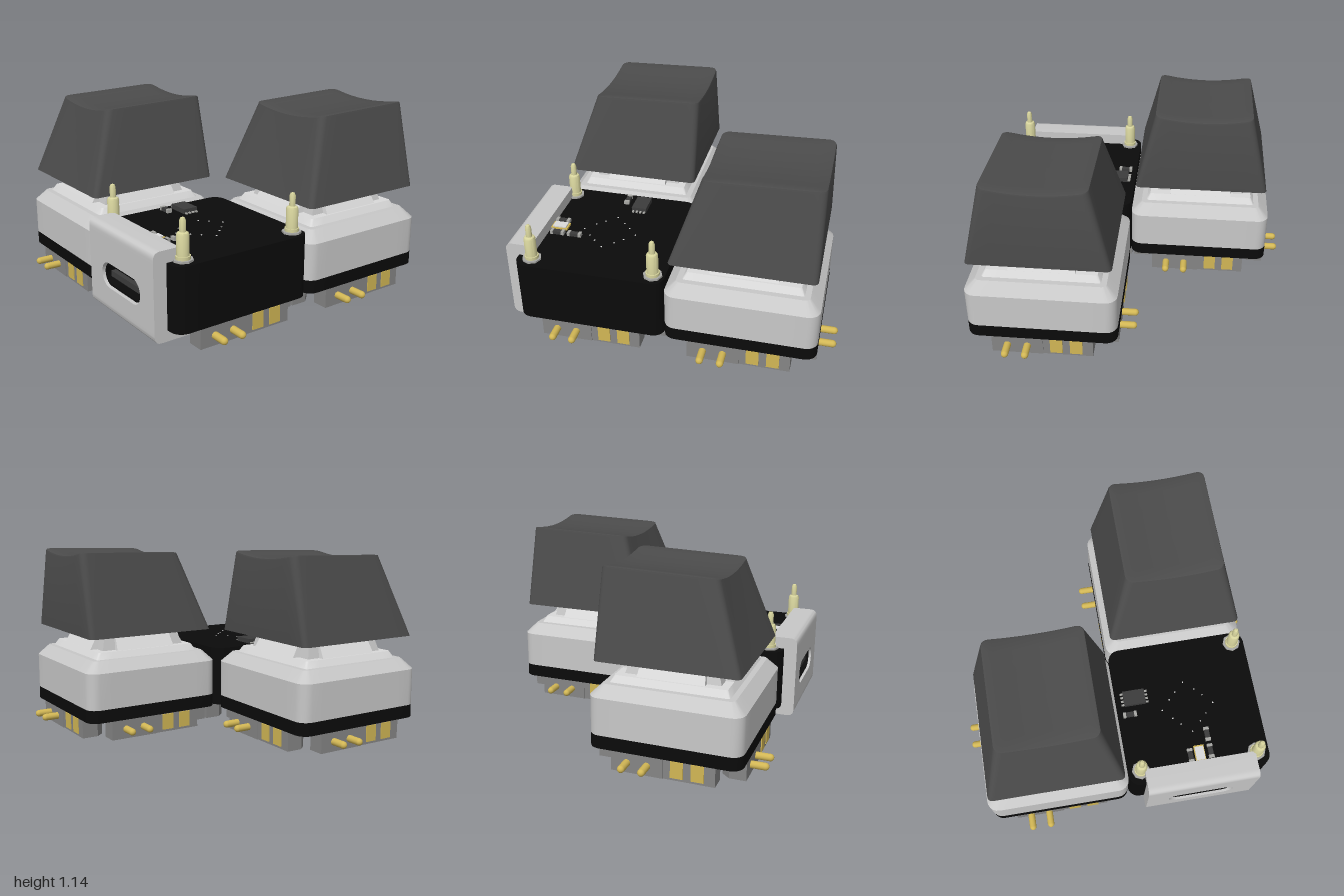
import * as THREE from 'three';
import { toCreasedNormals } from 'three/addons/utils/BufferGeometryUtils.js';

const mat = (name, color, side = THREE.FrontSide) => {
  const m = new THREE.MeshStandardMaterial({ color, side });
  m.name = name;
  return m;
};

// Rounded rectangle ring: [x, z] points with subdivided sides
function ringPoints({ hx, hz = hx, r = 0, cz = 0 }) {
  const pts = [], corners = [[1, 1], [-1, 1], [-1, -1], [1, -1]], arc = 5, side = 8;
  const rr = Math.min(r, hx, hz);
  corners.forEach(([sx, sz], k) => {
    for (let i = 0; i <= arc; i++) {
      const a = (k + i / arc) * Math.PI / 2;
      pts.push([sx * (hx - rr) + rr * Math.cos(a), cz + sz * (hz - rr) + rr * Math.sin(a)]);
    }
    const [nx, nz] = corners[(k + 1) % 4], a = (k + 1) * Math.PI / 2;
    const p = pts[pts.length - 1];
    const q = [nx * (hx - rr) + rr * Math.cos(a), cz + nz * (hz - rr) + rr * Math.sin(a)];
    for (let i = 1; i < side; i++) {
      const t = i / side;
      pts.push([p[0] + (q[0] - p[0]) * t, p[1] + (q[1] - p[1]) * t]);
    }
  });
  return pts;
}

// Skin a stack of rings; y is a number or a function of x and z
function loft(rings, crease = 0.6) {
  const pos = [], idx = [];
  let n = 0;
  rings.forEach(ring => {
    const pts = ringPoints(ring);
    n = pts.length;
    pts.forEach(([x, z]) => pos.push(x, typeof ring.y === 'function' ? ring.y(x, z) : ring.y, z));
  });
  for (let i = 0; i < rings.length - 1; i++) {
    for (let j = 0; j < n; j++) {
      const a = i * n + j, b = i * n + (j + 1) % n;
      idx.push(a, a + n, b, b, a + n, b + n);
    }
  }
  const g = new THREE.BufferGeometry();
  g.setAttribute('position', new THREE.Float32BufferAttribute(pos, 3));
  g.setIndex(idx);
  return toCreasedNormals(g, crease);
}
const solid = rings => loft([{ y: rings[0].y, hx: 0 }, ...rings, { y: rings[rings.length - 1].y, hx: 0 }]);

function stadium(Type, cx, cy, w, h) {
  const s = new Type(), d = (w - h) / 2;
  s.absarc(cx + d, cy, h / 2, -Math.PI / 2, Math.PI / 2, false);
  s.absarc(cx - d, cy, h / 2, Math.PI / 2, Math.PI * 1.5, false);
  s.closePath();
  return s;
}

export function createModel() {
  const M = {
    black: mat('black', 0x0b0b0b), cap: mat('charcoal', 0x4b4b4b),
    housing: mat('light grey', 0xc8c8c8), pale: mat('pale grey', 0xdadada),
    block: mat('connector grey', 0x858585), gold: mat('gold', 0xd2b755),
    brass: mat('pale brass', 0xd6d39c), chip: mat('chip grey', 0x3c3c3c),
    silver: mat('silver', 0xa8a8a4),
  };
  const model = new THREE.Group();
  const add = (parent, name, geo, m, x = 0, y = 0, z = 0) => {
    const mesh = new THREE.Mesh(geo, m);
    mesh.name = name;
    mesh.position.set(x, y, z);
    parent.add(mesh);
    return mesh;
  };
  const box = (p, name, m, w, h, d, x, y, z) => add(p, name, new THREE.BoxGeometry(w, h, d), m, x, y, z);
  const group = (parent, name, x = 0, z = 0) => {
    const g = new THREE.Group();
    g.name = name;
    g.position.set(x, 0, z);
    parent.add(g);
    return g;
  };

  // Connector block outline with chamfered inner corners
  const blockShape = new THREE.Shape([[-.155, 0], [.155, 0], [.155, .1], [.11, .15], [-.11, .15], [-.155, .1]]
    .map(p => new THREE.Vector2(...p)));
  const blockGeo = new THREE.ExtrudeGeometry(blockShape, { depth: 0.12, bevelEnabled: false });
  blockGeo.rotateX(-Math.PI / 2);
  const pinGeo = new THREE.CapsuleGeometry(0.022, 0.12, 6, 14).rotateX(Math.PI / 2);

  // Edge connectors: a pin block and a pad block on each listed side
  function connectors(parent, sides) {
    sides.forEach(k => {
      const side = group(parent, 'edgeConnector');
      side.rotation.y = k * Math.PI / 2;
      add(side, 'pinBlock', blockGeo, M.block, -0.15, 0, 0.445);
      add(side, 'padBlock', blockGeo, M.block, 0.15, 0, 0.44);
      for (const s of [-1, 1]) {
        add(side, 'contactPin', pinGeo, M.gold, -0.15 + s * 0.06, 0.06, 0.468);
        box(side, 'contactPad', M.gold, 0.075, 0.1, 0.008, 0.145 + s * 0.06, 0.065, 0.442);
      }
    });
  }

  // Small circuit parts under a board
  function underside(parent) {
    const chip = box(parent, 'controllerChip', M.chip, 0.14, 0.025, 0.14, 0.02, 0.11, 0.18);
    chip.rotation.y = Math.PI / 4;
    [[-.2, -.12], [-.2, .05], [.2, -.14], [.21, .04], [-.14, .2]].forEach(([x, z]) => {
      box(parent, 'smallComponent', M.pale, 0.035, 0.035, 0.06, x, 0.105, z);
    });
  }

  // Keycap: sloped, dished top and a hollow underside
  const topY = (x, z) => 1.138 - 0.028 * (z + 0.08) - 0.033 * (1 - Math.min(1, (x / 0.3) ** 2));
  const topRing = (s, drop) => ({ y: (x, z) => topY(x, z) - drop, hx: 0.305 * s, hz: 0.34 * s, r: 0.045 * s, cz: -0.08 });
  const capGeo = loft([
    { y: 1.0, hx: 0, cz: -0.06 }, { y: 1.0, hx: 0.25, hz: 0.29, r: 0.04, cz: -0.06 },
    { y: 0.63, hx: 0.37, r: 0.03 }, { y: 0.63, hx: 0.422, r: 0.03 },
    topRing(1, 0.015), topRing(0.99, 0.004), topRing(0.96, 0),
    topRing(0.75, 0), topRing(0.5, 0), topRing(0.25, 0), topRing(0, 0),
  ]);
  const baseGeo = solid([{ y: 0.12, hx: 0.45, r: 0.07 }, { y: 0.2, hx: 0.45, r: 0.07 }]);
  const housingGeo = solid([
    { y: 0.2, hx: 0.45, r: 0.07 }, { y: 0.425, hx: 0.45, r: 0.07 }, { y: 0.49, hx: 0.385, r: 0.03 },
  ]);
  const rimGeo = solid([{ y: 0.485, hx: 0.355, r: 0.015 }, { y: 0.53, hx: 0.33, r: 0.015 }]);
  const towerX = solid([{ y: 0.52, hx: 0.325, hz: 0.2 }, { y: 0.7, hx: 0.22, hz: 0.18 }]);
  const towerZ = solid([{ y: 0.52, hx: 0.2, hz: 0.335 }, { y: 0.7, hx: 0.18, hz: 0.23 }]);
  const coreGeo = solid([{ y: 0.52, hx: 0.285 }, { y: 0.7, hx: 0.235 }]);

  // Key modules
  for (const [x, z] of [[-0.45, 0.45], [0.45, -0.45]]) {
    const key = group(model, 'keyModule', x, z);
    add(key, 'basePlate', baseGeo, M.black);
    add(key, 'housing', housingGeo, M.housing);
    add(key, 'switchRim', rimGeo, M.pale);
    add(key, 'switchCore', coreGeo, M.housing);
    add(key, 'switchTowerAcross', towerX, M.pale);
    add(key, 'switchTowerDeep', towerZ, M.pale);
    box(key, 'switchStem', M.chip, 0.16, 0.32, 0.16, 0, 0.85, 0);
    add(key, 'keycap', capGeo, M.cap);
    add(key, 'switchPost', new THREE.CylinderGeometry(0.1, 0.07, 0.07, 28), M.housing, 0, 0.09, 0);
    add(key, 'postTip', new THREE.CylinderGeometry(0.045, 0.045, 0.02, 20), M.block, 0, 0.048, 0);
    connectors(key, [0, 1, 2, 3]);
    underside(key);
  }

  // Controller module
  const hub = group(model, 'controllerModule', 0.45, 0.45);
  add(hub, 'controllerBody', solid([{ y: 0.12, hx: 0.45, r: 0.07 }, { y: 0.5, hx: 0.45, r: 0.07 }]), M.black);
  connectors(hub, [1, 2, 3]);
  underside(hub);

  // Spring pins on octagonal pads
  const pinProfile = [[0, 0], [.035, 0], [.035, .145], [.03, .155], [.018, .16], [.018, .22], [.012, .235], [0, .24]]
    .map(p => new THREE.Vector2(...p));
  const springGeo = toCreasedNormals(new THREE.LatheGeometry(pinProfile, 20), 0.6);
  for (const [x, z] of [[0.37, -0.38], [-0.37, 0.36], [0.37, 0.36]]) {
    const pin = group(hub, 'springPin', x, z);
    add(pin, 'pinPad', toCreasedNormals(new THREE.CylinderGeometry(0.057, 0.057, 0.012, 8), 0.3), M.silver, 0, 0.506, 0);
    add(pin, 'pinCollar', new THREE.CylinderGeometry(0.042, 0.042, 0.03, 16), M.brass, 0, 0.515, 0);
    add(pin, 'pinBarrel', springGeo, M.brass, 0, 0.5, 0);
  }

  // Circuit parts on the board top
  box(hub, 'topChip', M.chip, 0.14, 0.03, 0.095, -0.33, 0.515, -0.11);
  for (let i = 0; i < 4; i++) {
    box(hub, 'chipLeg', M.silver, 0.176, 0.008, 0.012, -0.33, 0.505, -0.146 + i * 0.024);
  }
  [[-.375, -.005, .07, .03], [-.045, .32, .03, .07], [.085, .2, .03, .07], [.085, .31, .03, .07]].forEach(([x, z, w, d]) => {
    box(hub, 'smallComponent', M.chip, w, 0.02, d, x, 0.51, z);
    const long = w > d;
    for (const s of [-1, 1]) {
      box(hub, 'componentEnd', M.silver, long ? 0.018 : w + 0.004, 0.024, long ? d + 0.004 : 0.018,
        x + (long ? s * w / 2 : 0), 0.511, z + (long ? 0 : s * d / 2));
    }
  });
  box(hub, 'crystal', M.gold, 0.065, 0.014, 0.105, 0.015, 0.507, 0.315);
  box(hub, 'crystalLid', M.pale, 0.055, 0.02, 0.085, 0.015, 0.512, 0.315);
  for (let i = 0; i < 12; i++) {
    const a = i * Math.PI / 6, r = i % 3 ? 0.125 : 0.165;
    box(hub, 'boardDot', M.pale, 0.008, 0.004, 0.008, r * Math.cos(a), 0.501, r * Math.sin(a));
  }

  // Port cover: front wall with slot, rounded top and bottom lips
  const port = group(model, 'portCover');
  const wall = new THREE.Shape([[.1, .11], [.8, .11], [.8, .51], [.1, .51]].map(p => new THREE.Vector2(...p)));
  wall.holes.push(stadium(THREE.Path, 0.45, 0.287, 0.42, 0.15));
  add(port, 'frontWall', toCreasedNormals(new THREE.ExtrudeGeometry(wall,
    { depth: 0.1, bevelEnabled: false, curveSegments: 16 }), 0.6), M.housing, 0, 0, 0.88);
  const lip = (name, back, edge, inner) => {
    const dir = Math.sign(edge - inner), s = new THREE.Shape();
    s.moveTo(back, inner);
    s.lineTo(0.98, inner);
    s.lineTo(0.98, edge - dir * 0.045);
    s.quadraticCurveTo(0.98, edge, 0.935, edge);
    s.lineTo(back, edge);
    s.closePath();
    const g = new THREE.ExtrudeGeometry(s, { depth: 0.7, bevelEnabled: false, curveSegments: 8 });
    g.rotateY(-Math.PI / 2);
    add(port, name, toCreasedNormals(g, 0.5), M.housing, 0.8, 0, 0);
  };
  lip('topLip', 0.82, 0.572, 0.5);
  lip('bottomLip', 0.76, 0.055, 0.12);

  // Socket shell and tongue inside the slot
  const shell = stadium(THREE.Shape, 0.45, 0.287, 0.4, 0.135);
  shell.holes.push(stadium(THREE.Path, 0.45, 0.287, 0.375, 0.11));
  add(port, 'socketShell', toCreasedNormals(new THREE.ExtrudeGeometry(shell,
    { depth: 0.07, bevelEnabled: false, curveSegments: 16 }), 0.6), M.black, 0, 0, 0.895);
  box(port, 'socketTongue', M.chip, 0.31, 0.035, 0.055, 0.45, 0.287, 0.925);
  return model;
}
